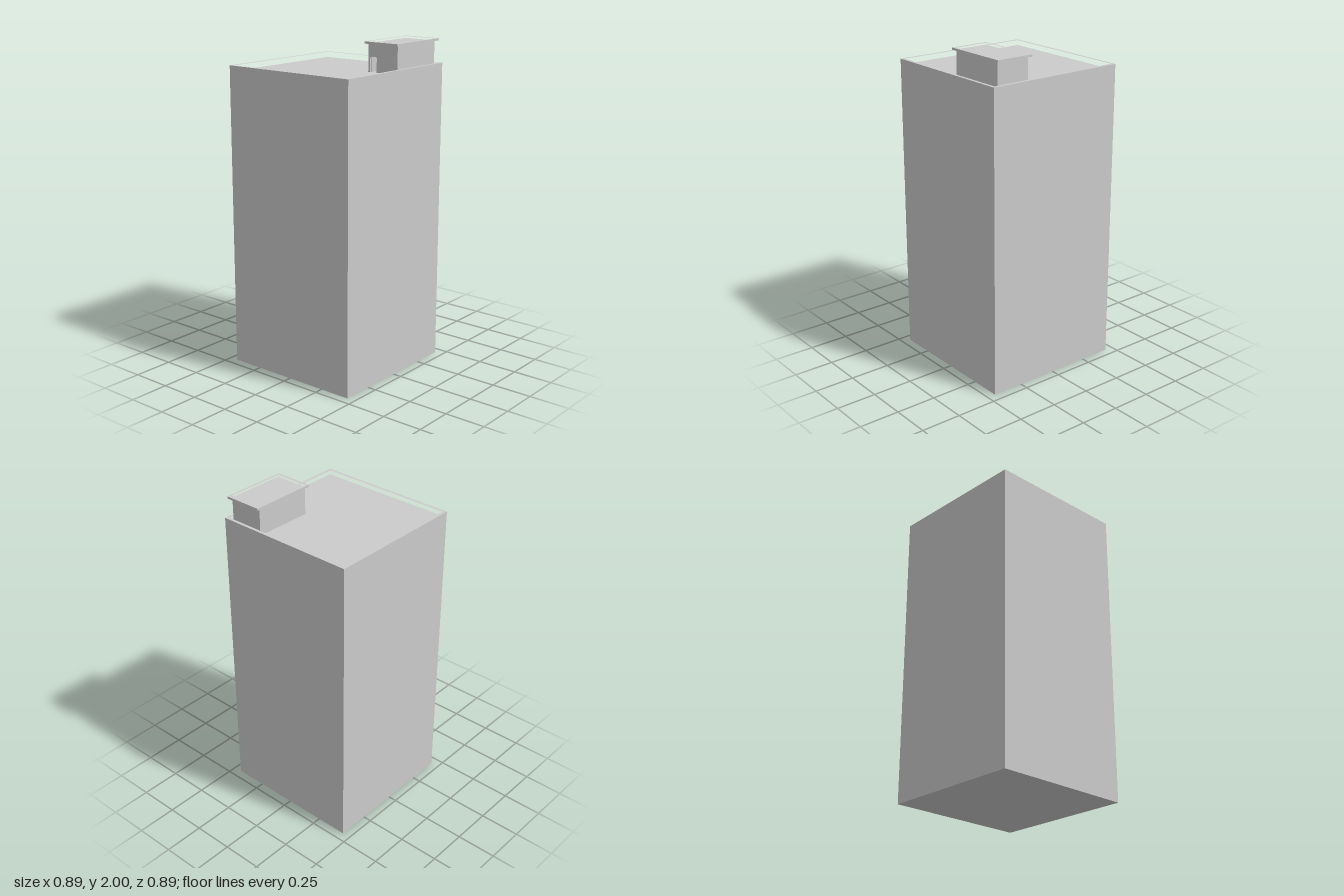
import * as THREE from 'three';

const material = new THREE.MeshStandardMaterial({ color: 0xcccccc, flatShading: true });

function add(parent, name, geometry) {
  const mesh = new THREE.Mesh(geometry, material);
  mesh.name = name;
  parent.add(mesh);
  return mesh;
}

// Box given by its lower and upper corners
function box(parent, name, [x0, y0, z0], [x1, y1, z1]) {
  const mesh = add(parent, name, new THREE.BoxGeometry(x1 - x0, y1 - y0, z1 - z0));
  mesh.position.set((x0 + x1) / 2, (y0 + y1) / 2, (z0 + z1) / 2);
  return mesh;
}

function rectangle(target, [x0, z0, x1, z1]) {
  target.moveTo(x0, -z0);
  target.lineTo(x1, -z0);
  target.lineTo(x1, -z1);
  target.lineTo(x0, -z1);
  target.closePath();
  return target;
}

// Upright rectangular ring between two plan outlines [x0, z0, x1, z1]
function ring(parent, name, outer, inner, y0, y1) {
  const shape = rectangle(new THREE.Shape(), outer);
  shape.holes.push(rectangle(new THREE.Path(), inner));
  const geometry = new THREE.ExtrudeGeometry(shape, { depth: y1 - y0, bevelEnabled: false });
  geometry.rotateX(-Math.PI / 2).translate(0, y0, 0);
  return add(parent, name, geometry);
}

export function createModel() {
  const model = new THREE.Group();
  model.name = 'towerBlock';

  const half = 0.447, inner = 0.428, deckY = 1.82, parapetY = 1.857;

  // Main block with a low parapet around the sunken roof deck
  box(model, 'mainBlock', [-half, 0, -half], [half, deckY, half]);
  ring(model, 'parapet', [-half, -half, half, half], [-inner, -inner, inner, inner], deckY, parapetY);

  // Stair house in the back left corner of the roof
  const house = new THREE.Group();
  house.name = 'stairHouse';
  model.add(house);
  const x0 = 0.192, x1 = 0.404, z0 = -0.422, z1 = -0.055, t = 0.016, topY = 1.988;
  box(house, 'leftWall', [x1 - t, deckY, z0], [x1, topY, z1 - t]);
  box(house, 'rightWall', [x0, deckY, z0], [x0 + t, topY, z1 - t]);
  box(house, 'backWall', [x0 + t, deckY, z0], [x1 - t, topY, z0 + t]);

  // Front wall, cut by a doorway with softened upper corners
  const d0 = 0.204, d1 = 0.254, doorY = 1.912, r = 0.008;
  const wall = new THREE.Shape();
  wall.moveTo(x0, deckY);
  wall.lineTo(d0, deckY);
  wall.lineTo(d0, doorY - r);
  wall.quadraticCurveTo(d0, doorY, d0 + r, doorY);
  wall.lineTo(d1 - r, doorY);
  wall.quadraticCurveTo(d1, doorY, d1, doorY - r);
  wall.lineTo(d1, deckY);
  wall.lineTo(x1, deckY);
  wall.lineTo(x1, topY);
  wall.lineTo(x0, topY);
  wall.closePath();
  const front = new THREE.ExtrudeGeometry(wall, { depth: t, bevelEnabled: false, curveSegments: 4 });
  add(house, 'frontWall', front.translate(0, 0, z1 - t));

  // Flat roof with an overhanging raised rim
  box(house, 'houseRoof', [x0, 1.978, z0], [x1, 1.989, z1]);
  ring(house, 'roofRim', [0.18, -0.447, 0.418, -0.034], [x0, z0, x1, z1], 1.987, 2);

  return model;
}
